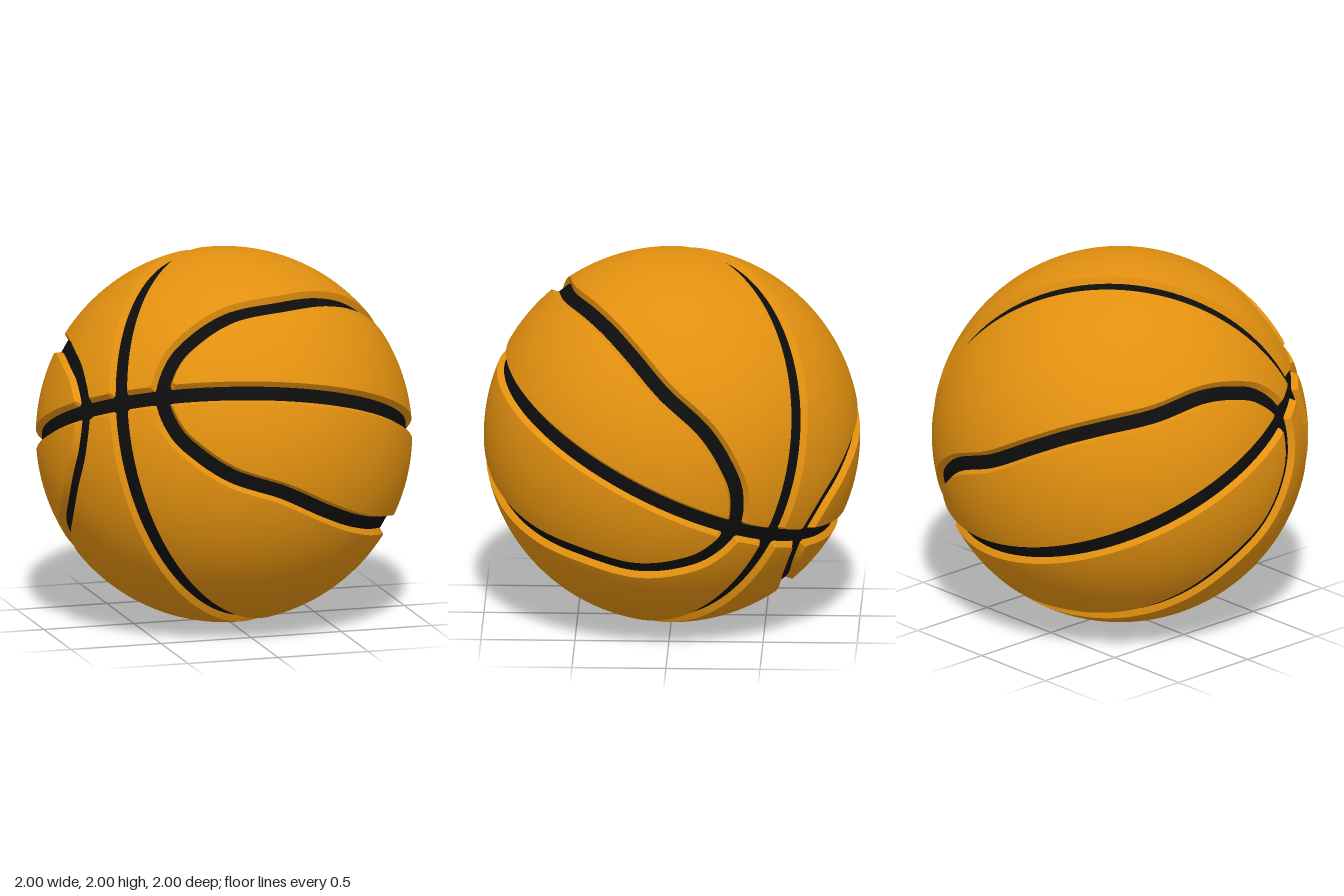
import * as THREE from 'three';

const R = 1;          // outer skin radius
const CORE = 0.967;   // radius of the groove floor
const OUTER = 0.058;  // half width of a groove at the skin
const INNER = 0.037;  // half width of a groove at its floor

// Tilted seam frame: P = pole where the two great circles cross,
// M = centre of one oval, N = normal of the long circle
const P = new THREE.Vector3(-0.755, 0.342, 0.558).normalize();
const M = new THREE.Vector3(0.645, 0.267, 0.716);
M.addScaledVector(P, -M.dot(P)).normalize();
const N = new THREE.Vector3().crossVectors(P, M);

// One quarter of the oval seam, mirrored into a closed curve (p, m, n)
function ovalSamples() {
  const quarter = [[0.968, 0], [0.93, 0.2], [0.855, 0.325], [0.725, 0.44], [0.48, 0.52], [0.2, 0.585], [0, 0.6]];
  const inner = quarter.slice(1, -1);
  const back = [...inner].reverse();
  const loop = [
    ...quarter,
    ...back.map(([p, n]) => [-p, n]), [-0.968, 0],
    ...inner.map(([p, n]) => [-p, -n]), [0, -0.6],
    ...back.map(([p, n]) => [p, -n]),
  ].map(([p, n]) => new THREE.Vector3(p, Math.sqrt(1 - p * p - n * n), n));
  return new THREE.CatmullRomCurve3(loop, true, 'centripetal')
    .getSpacedPoints(640)
    .map((v) => v.normalize())
    .filter((v) => v.x > -0.02 && v.z > -0.02);
}

// Distance over the ball from a unit vector to the nearest seam
function makeSeamDistance() {
  const samples = ovalSamples();
  return (v) => {
    const p = Math.abs(v.dot(P)), m = Math.abs(v.dot(M)), n = Math.abs(v.dot(N));
    let best = -1;
    for (const s of samples) best = Math.max(best, s.x * p + s.y * m + s.z * n);
    return Math.min(Math.asin(Math.min(1, m)), Math.asin(Math.min(1, n)), Math.acos(Math.min(1, best)));
  };
}

// Keep the part of a polygon on one side of a seam distance
function clip(poly, level, sign) {
  const out = [];
  poly.forEach((a, i) => {
    const b = poly[(i + 1) % poly.length];
    const da = sign * (a.d - level), db = sign * (b.d - level);
    if (da >= 0) out.push(a);
    if ((da > 0 && db < 0) || (da < 0 && db > 0)) {
      out.push({ v: a.v.clone().lerp(b.v, da / (da - db)).normalize(), d: level });
    }
  });
  return out;
}

function buildGeometry(polys, radiusAt, smooth) {
  const pos = [];
  for (const poly of polys) {
    for (let i = 1; i + 1 < poly.length; i++) {
      for (const c of [poly[0], poly[i], poly[i + 1]]) {
        const r = radiusAt(c.d);
        pos.push(c.v.x * r, c.v.y * r, c.v.z * r);
      }
    }
  }
  const g = new THREE.BufferGeometry();
  g.setAttribute('position', new THREE.Float32BufferAttribute(pos, 3));
  if (smooth) g.setAttribute('normal', new THREE.Float32BufferAttribute(pos, 3));
  else g.computeVertexNormals();
  return g;
}

export function createModel() {
  const orange = new THREE.MeshStandardMaterial({ color: 0xe2900f });
  orange.name = 'orangeSkin';
  const black = new THREE.MeshStandardMaterial({ color: 0x0d0d0d });
  black.name = 'blackSeam';

  // Cut a fine sphere along the groove edges
  const distance = makeSeamDistance();
  const base = new THREE.IcosahedronGeometry(1, 54).getAttribute('position');
  const cache = new Map();
  const corner = (i) => {
    const v = new THREE.Vector3().fromBufferAttribute(base, i).normalize();
    const key = `${v.x.toFixed(5)},${v.y.toFixed(5)},${v.z.toFixed(5)}`;
    if (!cache.has(key)) cache.set(key, { v, d: distance(v) });
    return cache.get(key);
  };
  const panels = [], walls = [];
  for (let i = 0; i < base.count; i += 3) {
    const tri = [corner(i), corner(i + 1), corner(i + 2)];
    const panel = clip(tri, OUTER, 1);
    if (panel.length > 2) panels.push(panel);
    const wall = clip(clip(tri, OUTER, -1), INNER, 1);
    if (wall.length > 2) walls.push(wall);
  }

  const model = new THREE.Group();
  model.name = 'ball';
  const add = (name, geometry, material) => {
    const mesh = new THREE.Mesh(geometry, material);
    mesh.name = name;
    mesh.position.y = R;
    model.add(mesh);
  };

  // Skin panels, sloping groove walls and the dark floor below them
  const slope = (d) => CORE - 0.003 + (R - CORE + 0.003) * (d - INNER) / (OUTER - INNER);
  add('panels', buildGeometry(panels, () => R, true), orange);
  add('grooveWalls', buildGeometry(walls, slope, false), orange);
  add('seams', new THREE.SphereGeometry(CORE, 128, 80), black);
  return model;
}
